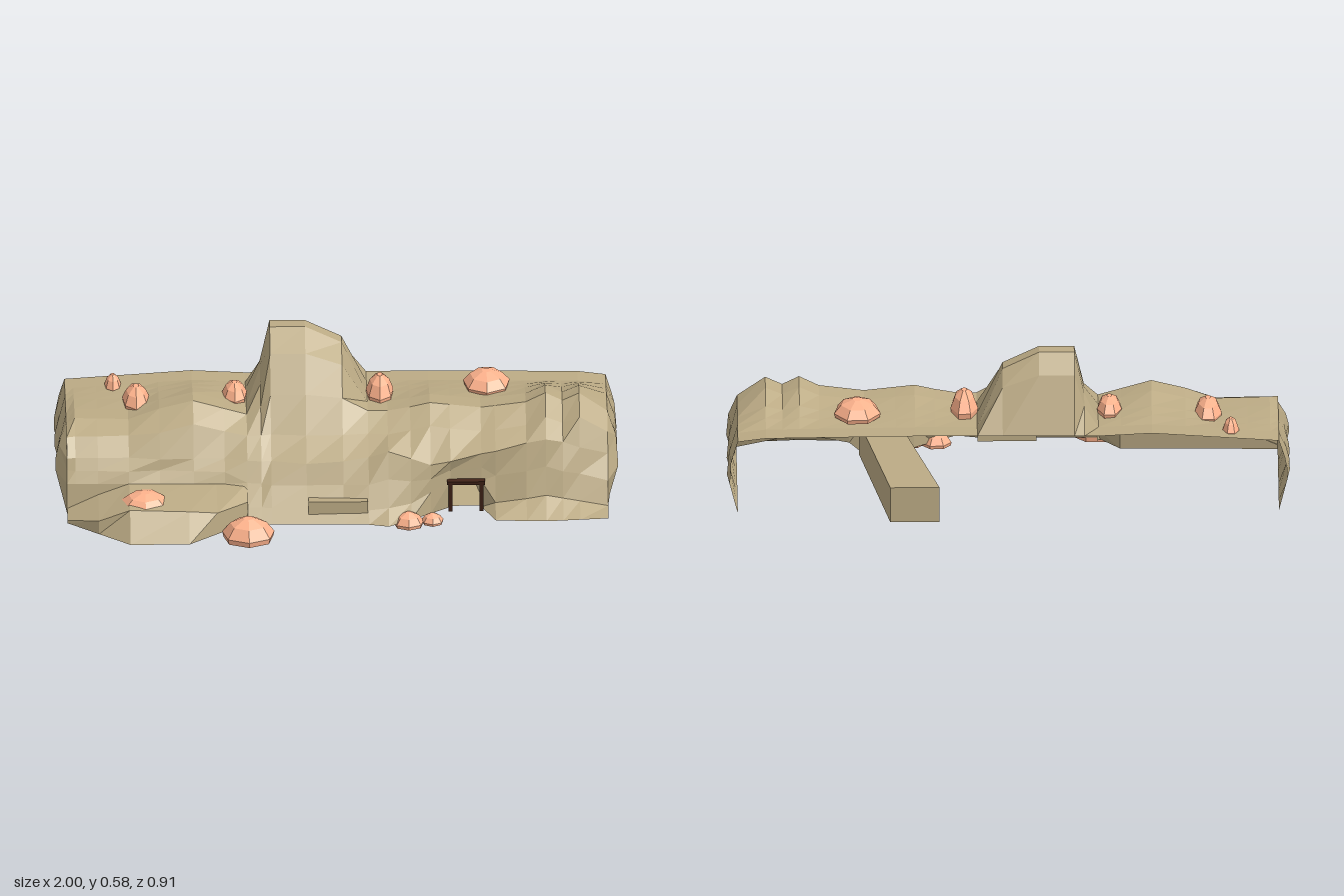
import * as THREE from 'three';

const mat = (color, side = THREE.FrontSide) =>
  new THREE.MeshStandardMaterial({ color, flatShading: true, side });

// piecewise linear curve through [x, value] pairs
const curve = (pts) => (x) => {
  if (x <= pts[0][0]) return pts[0][1];
  for (let i = 1; i < pts.length; i++) {
    const [x0, v0] = pts[i - 1], [x1, v1] = pts[i];
    if (x <= x1) return v0 + ((v1 - v0) * (x - x0)) / (x1 - x0);
  }
  return pts[pts.length - 1][1];
};

// faceted sheet from a grid of points; skip(i, j) leaves a hole
function sheet(rows, skip = () => false) {
  const pos = [];
  for (let i = 0; i + 1 < rows.length; i++)
    for (let j = 0; j + 1 < rows[i].length; j++) {
      if (skip(i, j)) continue;
      const a = rows[i][j], b = rows[i + 1][j], c = rows[i + 1][j + 1], d = rows[i][j + 1];
      pos.push(...a, ...b, ...c, ...a, ...c, ...d);
    }
  const g = new THREE.BufferGeometry();
  g.setAttribute('position', new THREE.Float32BufferAttribute(pos, 3));
  g.computeVertexNormals();
  return g;
}

// cliff outline curves along x
const ridge = curve([[-0.96, 0.285], [-0.93, 0.305], [-0.74, 0.3], [-0.63, 0.34], [-0.51, 0.37], [-0.32, 0.315],
  [0.11, 0.325], [0.2, 0.325], [0.33, 0.355], [0.51, 0.335], [0.67, 0.355], [0.74, 0.39], [0.8, 0.36],
  [0.86, 0.388], [0.96, 0.318]]);
const backEdge = curve([[-0.96, 0.29], [-0.51, 0.32], [-0.32, 0.31], [0.33, 0.312], [0.86, 0.305], [0.96, 0.292]]);
const baseZ = curve([[-0.96, 0.19], [-0.4, 0.2], [-0.32, 0.295], [0.1, 0.3], [0.18, 0.32], [0.28, 0.25],
  [0.4, 0.16], [0.51, 0.16], [0.56, 0.275], [0.74, 0.285], [0.96, 0.265]]);
// top edge of the toe at the foot of the wall
const lowY = curve([[-0.4, 0.13], [-0.32, 0.07], [0.1, 0.06], [0.26, 0.07], [0.33, 0.1], [0.4, 0.13], [0.51, 0.13],
  [0.56, 0.05], [0.74, 0.08], [0.96, 0.035]]);
const lowZ = curve([[-0.96, 0.175], [-0.4, 0.185], [-0.32, 0.255], [0.1, 0.27], [0.2, 0.26], [0.4, 0.178],
  [0.51, 0.178], [0.6, 0.2], [0.96, 0.19]]);
const midZ = curve([[-0.96, 0.13], [-0.4, 0.135], [-0.1, 0.17], [0.18, 0.17], [0.33, 0.195], [0.55, 0.165], [0.96, 0.11]]);
const midY = curve([[-0.96, 0.21], [-0.1, 0.2], [0.1, 0.215], [0.18, 0.245], [0.33, 0.2], [0.55, 0.24], [0.74, 0.275], [0.96, 0.2]]);

// central hill: share of full height across x and across z
const hillX = curve([[-0.32, 0], [-0.27, 0.4], [-0.235, 1], [-0.11, 1], [0.02, 0.76], [0.11, 0]]);
const hillZ = curve([[-0.36, 0], [-0.28, 0.75], [-0.225, 1], [-0.17, 1], [-0.08, 0.75], [0, 0.27], [0.08, 0]]);

const topZ = [0, -0.08, -0.17, -0.225, -0.28, -0.36];
function profile(x) {
  const r = ridge(x), jig = 0.008 * Math.sin(x * 37);
  const yl = lowY(x), zl = lowZ(x), ym = midY(x), zm = midZ(x);
  const pts = [
    [x, 0.02, baseZ(x)],
    [x, yl, zl],
    [x, (yl + ym) / 2, (zl + zm) / 2 - jig],
    [x, ym, zm + jig],
    [x, Math.max(r - 0.055, 0.27, ym + 0.02), 0.08 + jig],
  ];
  for (const z of topZ) {
    const t = Math.min(1, Math.max(0, (-z - 0.06) / 0.22));
    const y = r + (backEdge(x) - r) * t;
    pts.push([x, y + (0.577 - y) * hillX(x) * hillZ(z), z]);
  }
  return pts;
}

// bulging, faceted end wall that shares the edge of the end profile
function endWall(p, s) {
  const front = p.slice(0, 5), top = p.slice(4), n = top.length - 1;
  const rows = front.map((f, j) => top.map((t, k) => {
    const v = (f[1] - 0.02) / (front[4][1] - 0.02);
    const bulge = k > 0 ? Math.sin(Math.PI * v) * (k % 2 ? 0.04 : 0.03) : 0;
    return [t[0] + s * bulge, 0.02 + (t[1] - 0.02) * v, t[2] + (f[2] - front[4][2]) * (1 - k / n)];
  }));
  return sheet(s > 0 ? rows.map((r) => r.reverse()) : rows);
}

export function createModel() {
  const model = new THREE.Group();
  const add = (name, geo, material, parent = model) => {
    const m = new THREE.Mesh(geo, material);
    m.name = name;
    parent.add(m);
    return m;
  };
  const stone = mat(0xbcab85, THREE.DoubleSide);
  const boulder = mat(0xffb38d);
  const wood = mat(0x3f2217);

  // cliff face and plateau, with the mine entrance left open
  const xs = [-0.96, -0.93, -0.85, -0.74, -0.63, -0.51, -0.4, -0.32, -0.27, -0.235, -0.11, 0.02, 0.11, 0.18,
    0.26, 0.33, 0.4, 0.51, 0.56, 0.67, 0.74, 0.8, 0.86, 0.96];
  const door = xs.indexOf(0.4);
  const profiles = xs.map(profile);
  add('cliff', sheet(profiles, (i, j) => i === door && j === 0), stone);
  add('leftEndWall', endWall(profiles[xs.length - 1], 1), stone);
  add('rightEndWall', endWall(profiles[0], -1), stone);

  // sloping ledge at the foot of the cliff: [x, foot z, lip y, lip z, back y]
  add('frontLedge', sheet([
    [-0.96, 0.27, 0.03, 0.268, 0.04],
    [-0.85, 0.363, 0.07, 0.36, 0.09],
    [-0.74, 0.455, 0.115, 0.37, 0.13],
    [-0.53, 0.455, 0.108, 0.37, 0.13],
    [-0.43, 0.37, 0.1, 0.365, 0.13],
    [-0.32, 0.27, 0.095, 0.265, 0.13],
  ].map(([x, fz, ly, lz, by]) => [[x, 0.02, fz], [x, ly, lz], [x, by, 0.18]])), stone);
  add('smallLedge', new THREE.BoxGeometry(0.21, 0.055, 0.06), stone).position.set(0, 0.07, 0.245);

  // tunnel running out through the open back
  const ring = (x0, x1, y0, y1, z) => [[x0, y0, z], [x1, y0, z], [x1, y1, z], [x0, y1, z], [x0, y0, z]];
  const c = [0.335, 0.09, -0.457];
  add('tunnel', sheet([
    ring(0.385, 0.525, 0.02, 0.145, 0.15),
    ring(0.245, 0.42, 0.022, 0.155, -0.457),
    [c, c, c, c, c],
  ]), stone);

  // timber frame of the entrance, leaning out with the overhang
  const frame = new THREE.Group();
  frame.name = 'entranceFrame';
  frame.position.set(0.455, 0.01, 0.165);
  frame.rotation.x = 0.17;
  model.add(frame);
  for (const x of [-0.055, 0.055])
    add('framePost', new THREE.BoxGeometry(0.014, 0.125, 0.014), wood, frame).position.set(x, 0.0625, 0);
  add('frameLintel', new THREE.BoxGeometry(0.135, 0.014, 0.02), wood, frame).position.set(0, 0.122, 0);

  // boulders: x, bottom y, z, width, height, depth
  const dome = [[0, 0], [0.95, 0], [1, 0.25], [0.7, 0.72], [0.2, 1], [0, 1]].map((p) => new THREE.Vector2(...p));
  [
    [-0.79, 0.29, -0.28, 0.06, 0.055, 0.1],
    [-0.71, 0.295, -0.14, 0.1, 0.07, 0.18],
    [-0.36, 0.315, -0.145, 0.09, 0.06, 0.16],
    [0.155, 0.315, -0.145, 0.1, 0.085, 0.17],
    [0.535, 0.325, -0.2, 0.17, 0.062, 0.19],
    [-0.685, 0.1, 0.285, 0.17, 0.045, 0.16],
    [-0.32, 0.002, 0.37, 0.19, 0.08, 0.17],
    [0.25, 0.005, 0.275, 0.11, 0.05, 0.1],
    [0.335, 0.01, 0.265, 0.08, 0.035, 0.08],
  ].forEach(([x, y, z, w, h, d], i) => {
    const geo = new THREE.LatheGeometry(dome, 7);
    geo.rotateY(i * 0.9);
    geo.scale(w / 2, h, d / 2);
    add('boulder', geo, boulder).position.set(x, y, z);
  });
  return model;
}
